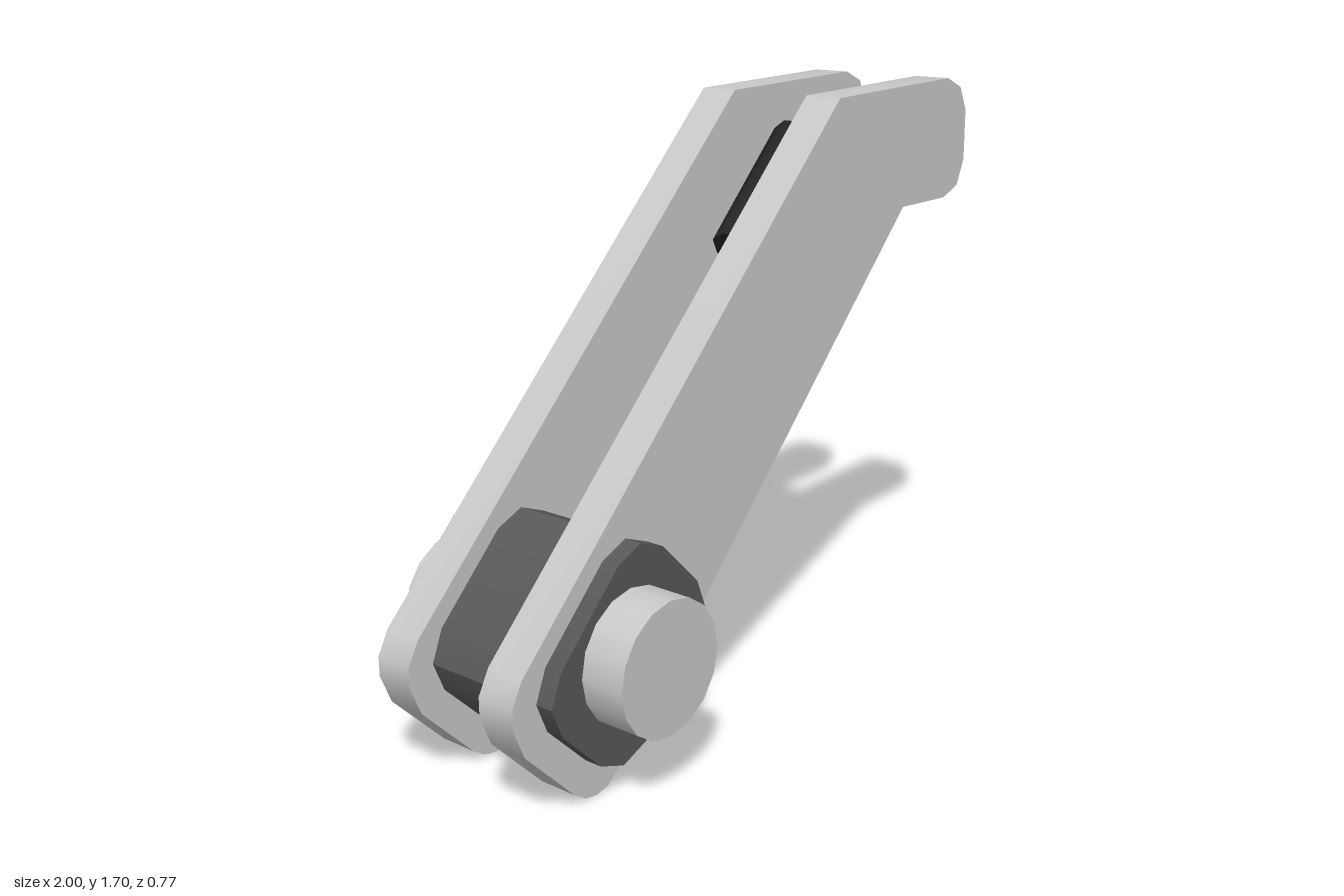
import * as THREE from 'three';
import { toCreasedNormals } from 'three/addons/utils/BufferGeometryUtils.js';

const material = (name, color) => {
  const m = new THREE.MeshStandardMaterial({ color });
  m.name = name;
  return m;
};

export function createModel() {
  const group = new THREE.Group();
  const lightSteel = material('lightSteel', 0xc9c9c9);
  const darkSteel = material('darkSteel', 0x585858);
  const rodSteel = material('rodSteel', 0x909090);
  const blackGrip = material('blackGrip', 0x262626);

  const add = (name, geometry, mat) => {
    const mesh = new THREE.Mesh(geometry, mat);
    mesh.name = name;
    group.add(mesh);
    return mesh;
  };

  // Slab with a drawn outline, running from z0 to z1
  const slab = (name, outline, z0, z1, mat) => {
    const shape = new THREE.Shape(outline.map(([x, y]) => new THREE.Vector2(x, y)));
    const geo = new THREE.ExtrudeGeometry(shape, { depth: z1 - z0, bevelEnabled: false });
    geo.translate(0, 0, z0);
    return add(name, toCreasedNormals(geo, 0.75), mat);
  };

  // Two bent side plates
  const plate = [
    [0.32, 1.685], [-0.965, 0.415], [-1, 0.35], [-1, 0.295], [-0.965, 0.21],
    [-0.795, 0.035], [-0.755, 0.008], [-0.715, 0], [-0.67, 0.008], [-0.625, 0.045],
    [0.66, 1.34], [0.89, 1.34], [0.965, 1.37], [1, 1.445],
    [1, 1.597], [0.965, 1.668], [0.89, 1.7],
  ];
  slab('frontPlate', plate, 0.088, 0.203, lightSteel);
  slab('backPlate', plate, -0.28, -0.165, lightSteel);

  // Rounded square hub through both plates
  const hub = [
    [-0.59, 0.665], [-0.675, 0.63], [-0.885, 0.42], [-0.92, 0.333],
    [-0.885, 0.248], [-0.752, 0.115], [-0.667, 0.082], [-0.58, 0.115],
    [-0.368, 0.328], [-0.336, 0.41], [-0.368, 0.493], [-0.507, 0.632],
  ];
  slab('hub', hub, -0.333, 0.255, darkSteel);

  // Pivot pin
  const pin = new THREE.CylinderGeometry(0.183, 0.183, 0.77, 16);
  pin.rotateX(Math.PI / 2);
  add('pivotPin', pin, lightSteel).position.set(-0.63, 0.375, 0);

  // Lever rod and its grip, both leaning at 45 degrees along one axis
  const leaning = (name, radius, from, to, mat) => {
    const geo = new THREE.CylinderGeometry(radius, radius, (to - from) * Math.SQRT2, 10);
    const mid = (from + to) / 2;
    const mesh = add(name, toCreasedNormals(geo, 0.75), mat);
    mesh.rotation.z = -Math.PI / 4;
    mesh.position.set(mid, mid + 1.007, -0.037);
  };
  leaning('leverRod', 0.079, -0.445, 0.3, rodSteel);
  leaning('leverGrip', 0.113, 0.22, 0.512, blackGrip);

  return group;
}
